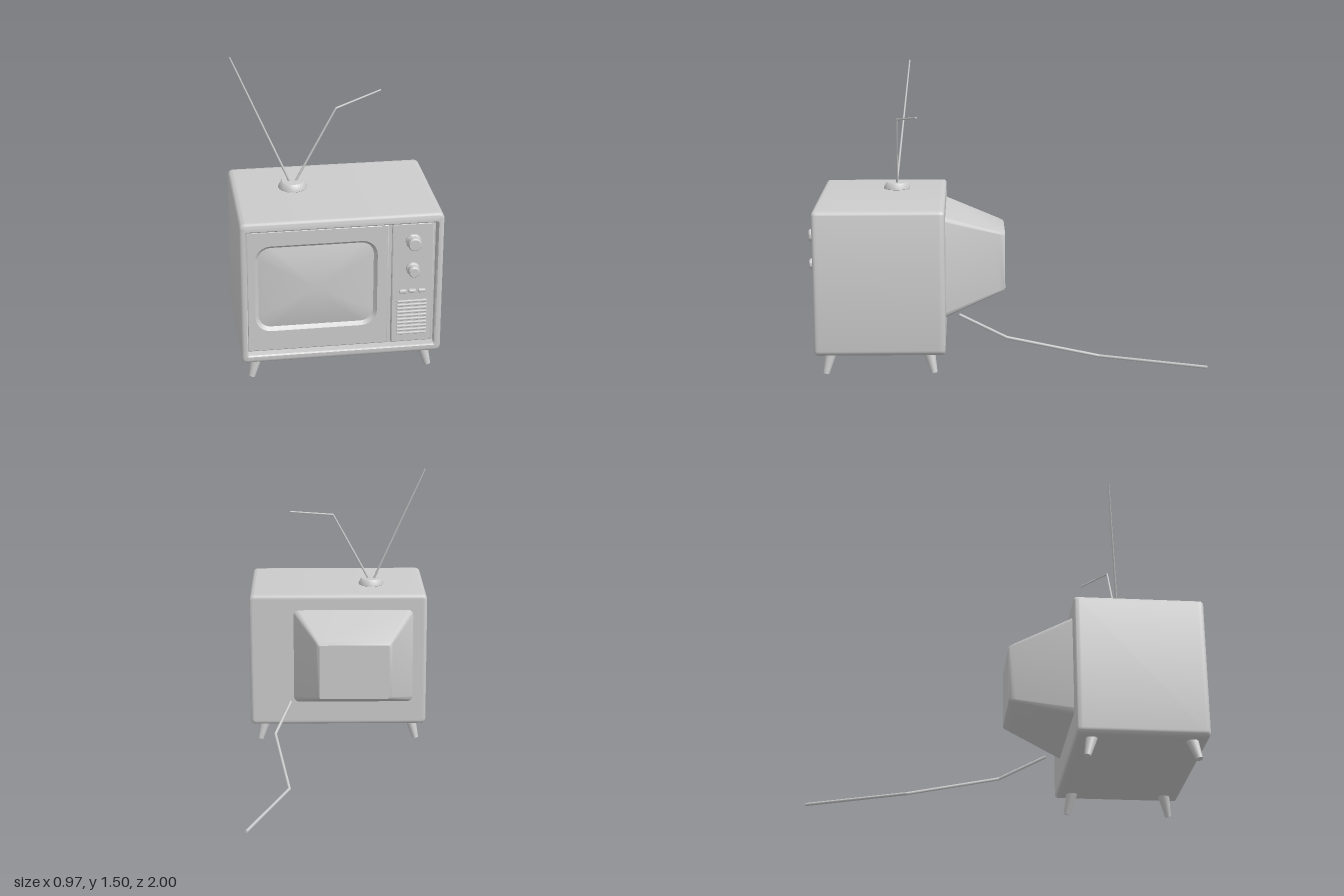
import * as THREE from 'three';
import { toCreasedNormals } from 'three/addons/utils/BufferGeometryUtils.js';
import { RoundedBoxGeometry } from 'three/addons/geometries/RoundedBoxGeometry.js';

const material = new THREE.MeshStandardMaterial({ color: 0xcccccc });
const STEPS = 6;

function add(parent, name, geometry, x = 0, y = 0, z = 0) {
  const mesh = new THREE.Mesh(geometry, material);
  mesh.name = name;
  mesh.position.set(x, y, z);
  parent.add(mesh);
  return mesh;
}

// Counter-clockwise rounded rectangle; a width of 0 gives a closing point
function ring([z, w, h, r, cx, cy]) {
  const points = [];
  for (let c = 0; c < 4; c++) {
    const sx = c === 0 || c === 3 ? 1 : -1;
    const sy = c < 2 ? 1 : -1;
    for (let i = 0; i <= STEPS; i++) {
      const a = (c + i / STEPS) * Math.PI / 2;
      points.push(cx + sx * (w / 2 - r) + r * Math.cos(a), cy + sy * (h / 2 - r) + r * Math.sin(a), z);
    }
  }
  return points;
}

// Skin stretched over a series of rounded rectangles
function loft(sections) {
  const n = 4 * (STEPS + 1);
  const index = [];
  for (let s = 0; s < sections.length - 1; s++) {
    for (let i = 0; i < n; i++) {
      const j = (i + 1) % n;
      const a = s * n + i, b = s * n + j, c = b + n, d = a + n;
      if (sections[s][1] > 0) index.push(a, b, c);
      if (sections[s + 1][1] > 0) index.push(a, c, d);
    }
  }
  const geometry = new THREE.BufferGeometry();
  geometry.setAttribute('position', new THREE.Float32BufferAttribute(sections.flatMap(ring), 3));
  geometry.setIndex(index);
  return toCreasedNormals(geometry, 0.6);
}

// Tapered straight rod between two points
function rod(parent, name, from, to, r0, r1, sides) {
  const a = new THREE.Vector3(...from), b = new THREE.Vector3(...to);
  const direction = b.clone().sub(a);
  const mesh = add(parent, name, new THREE.CylinderGeometry(r1, r0, direction.length(), sides));
  mesh.position.copy(a).add(b).multiplyScalar(0.5);
  mesh.quaternion.setFromUnitVectors(new THREE.Vector3(0, 1, 0), direction.normalize());
  return mesh;
}

function turned(profile, sides) {
  const points = profile.map(([r, y]) => new THREE.Vector2(r, y));
  return toCreasedNormals(new THREE.LatheGeometry(points, sides), 0.5);
}

function cabinet() {
  const W = 0.966, H = 0.735, cy = 0.4725, e = 0.018;
  const sections = [[0.32, 0, 0, 0, 0, cy], [0.32, W - 0.05, H - 0.05, 0.012, 0, cy]];
  const edge = (z, a) => {
    const inset = e * (1 - Math.cos(a));
    sections.push([z + e * Math.sin(a), W - 2 * inset, H - 2 * inset, 0.028 - inset, 0, cy]);
  };
  for (let i = -4; i <= 0; i++) edge(0.32 + e, i * Math.PI / 8);
  sections.push([0.35, W, H, 0.028, 0, cy], [0.945, W, H, 0.028, 0, cy]);
  for (let i = 0; i <= 4; i++) edge(0.975 - e, i * Math.PI / 8);
  // Front rim, recess wall and recess floor
  sections.push(
    [0.975, 0.912, 0.662, 0.008, 0, 0.47],
    [0.969, 0.9, 0.65, 0.004, 0, 0.47],
    [0.93, 0.9, 0.65, 0.004, 0, 0.47],
    [0.93, 0, 0, 0, 0, 0.47]);
  return loft(sections);
}

export function createModel() {
  const model = new THREE.Group();
  model.name = 'television';

  add(model, 'cabinet', cabinet());

  // Tapered housing behind the tube
  add(model, 'rearHousing', loft([
    [0.012, 0, 0, 0, -0.08, 0.5],
    [0.012, 0.35, 0.27, 0.01, -0.08, 0.5],
    [0.012, 0.37, 0.295, 0.01, -0.08, 0.5],
    [0.022, 0.39, 0.306, 0.012, -0.08, 0.5],
    [0.045, 0.408, 0.325, 0.014, -0.08, 0.5],
    [0.325, 0.655, 0.525, 0.03, -0.082, 0.4975],
  ]));

  // Screen surround with a rounded opening
  const sx = -0.12, sy = 0.485;
  add(model, 'screenPanel', loft([
    [0.925, 0.672, 0.63, 0.004, -0.113, 0.47],
    [0.945, 0.672, 0.63, 0.004, -0.113, 0.47],
    [0.949, 0.664, 0.622, 0.004, -0.113, 0.47],
    [0.949, 0.582, 0.45, 0.075, sx, sy],
    [0.945, 0.576, 0.444, 0.072, sx, sy],
    [0.931, 0.55, 0.418, 0.06, sx, sy],
  ]));

  // Bulging glass
  const glass = [];
  for (let i = 0; i <= 10; i++) {
    const s = 1 - i / 10;
    glass.push([0.931 + 0.026 * (1 - s * s), 0.552 * s, 0.42 * s, 0.061 * s, sx, sy]);
  }
  add(model, 'screen', loft(glass));

  // Control panel
  const cx = 0.34;
  add(model, 'controlPanel', loft([
    [0.925, 0.198, 0.63, 0.004, cx, 0.47],
    [0.945, 0.198, 0.63, 0.004, cx, 0.47],
    [0.949, 0.19, 0.622, 0.004, cx, 0.47],
    [0.949, 0, 0, 0, cx, 0.47],
  ]));

  for (const [name, y, r] of [['channelKnob', 0.695, 0.037], ['volumeKnob', 0.55, 0.032]]) {
    const knob = add(model, name, turned([
      [r, 0], [r, 0.012], [r - 0.005, 0.016], [r - 0.005, 0.046], [r - 0.01, 0.052], [0, 0.052],
    ], 28), cx, y, 0.948);
    knob.rotation.x = Math.PI / 2;
  }

  for (let i = -1; i <= 1; i++) {
    add(model, 'pushButton', new RoundedBoxGeometry(0.036, 0.017, 0.024, 2, 0.006), cx + i * 0.046, 0.432, 0.952);
  }

  for (let i = 0; i < 10; i++) {
    add(model, 'speakerSlat', new RoundedBoxGeometry(0.146, 0.011, 0.016, 2, 0.004), cx, 0.376 - i * 0.0192, 0.95);
  }

  // Splayed legs
  for (const side of [-1, 1]) {
    rod(model, 'frontLeg', [side * 0.4, 0.12, 0.893], [side * 0.432, 0.004, 0.92], 0.031, 0.016, 14);
    rod(model, 'backLeg', [side * 0.4, 0.12, 0.405], [side * 0.432, 0.004, 0.376], 0.031, 0.016, 14);
  }

  // Rabbit-ear aerial, one arm bent
  const aerial = new THREE.Group();
  aerial.name = 'aerial';
  model.add(aerial);
  add(aerial, 'aerialBase', turned([
    [0.066, 0], [0.07, 0.004], [0.069, 0.01], [0.058, 0.032], [0.053, 0.036], [0, 0.036],
  ], 32), -0.187, 0.838, 0.58);
  rod(aerial, 'straightArm', [-0.197, 0.86, 0.582], [-0.474, 1.495, 0.515], 0.006, 0.004, 8);
  rod(aerial, 'bentArmLower', [-0.178, 0.86, 0.58], [0.025, 1.235, 0.57], 0.006, 0.005, 8);
  rod(aerial, 'bentArmUpper', [0.023, 1.234, 0.571], [0.26, 1.274, 0.46], 0.005, 0.004, 8);

  // Power cable trailing behind
  const path = [[0.26, 0.26, 0.25], [0.34, 0.16, 0.01], [0.26, 0.036, -0.47], [0.457, 0.03, -0.998]];
  for (let i = 0; i < path.length - 1; i++) {
    rod(model, 'powerCable', path[i], path[i + 1], 0.008, 0.008, 8);
    if (i > 0) add(model, 'cableBend', new THREE.SphereGeometry(0.008, 8, 6), ...path[i]);
  }

  return model;
}
